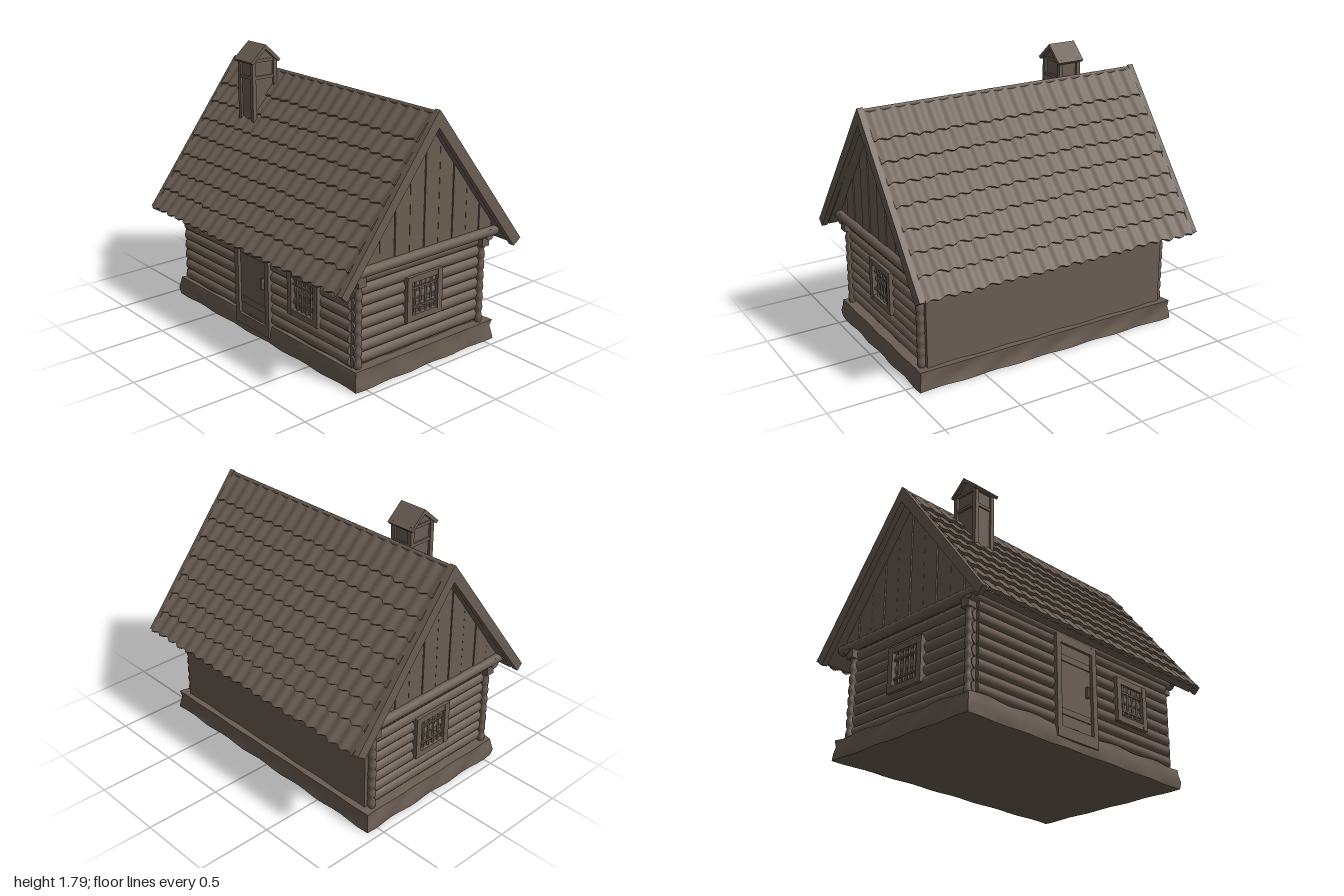
import * as THREE from 'three';
import { toCreasedNormals } from 'three/addons/utils/BufferGeometryUtils.js';

const RIDGE_X = -0.02, RIDGE_Y = 1.6;

export function createModel() {
  const model = new THREE.Group();
  model.name = 'logCabin';
  const wood = new THREE.MeshStandardMaterial({ color: 0x6b5e53, side: THREE.DoubleSide });
  wood.name = 'weathered brown';

  const add = (name, geometry, x = 0, y = 0, z = 0, parent = model) => {
    const mesh = new THREE.Mesh(geometry, wood);
    mesh.name = name;
    mesh.position.set(x, y, z);
    parent.add(mesh);
    return mesh;
  };
  const group = (name) => {
    const g = new THREE.Group();
    g.name = name;
    model.add(g);
    return g;
  };
  // Box given by its low and high corners
  const box = (name, a, b, parent) => add(name,
    new THREE.BoxGeometry(b[0] - a[0], b[1] - a[1], b[2] - a[2]),
    (a[0] + b[0]) / 2, (a[1] + b[1]) / 2, (a[2] + b[2]) / 2, parent);
  // Front-facing outline pushed along z
  const slab = (name, points, z0, z1, parent) => {
    const shape = new THREE.Shape(points.map(([x, y]) => new THREE.Vector2(x, y)));
    return add(name, new THREE.ExtrudeGeometry(shape, { depth: z1 - z0, bevelEnabled: false }), 0, 0, z0, parent);
  };
  const log = (name, axis, from, to, a, y, r, parent) => {
    const geo = new THREE.CylinderGeometry(r, r, to - from, 14);
    const mid = (from + to) / 2;
    if (axis === 'x') return add(name, geo.rotateZ(Math.PI / 2), mid, y, a, parent);
    return add(name, geo.rotateX(Math.PI / 2), a, y, mid, parent);
  };
  const hash = (n) => { const v = Math.sin(n * 127.1) * 43758.5; return v - Math.floor(v); };

  // Rough stone plinth with an uneven upper edge
  const plinth = new THREE.BoxGeometry(1.15, 0.13, 1.87, 16, 3, 24);
  const p = plinth.attributes.position;
  for (let i = 0; i < p.count; i++) {
    const x = p.getX(i), y = p.getY(i), z = p.getZ(i);
    const wobble = 0.006 * Math.sin(x * 19 + y * 30) + 0.006 * Math.sin(z * 17 + y * 40);
    if (Math.abs(x) > 0.57) p.setX(i, x + Math.sign(x) * wobble);
    if (Math.abs(z) > 0.93) p.setZ(i, z + Math.sign(z) * wobble);
    if (y > 0.06) p.setY(i, y + wobble * 0.7);
  }
  add('plinth', toCreasedNormals(plinth, 0.6), 0, 0.065, 0);

  // Wall core with a plain board on the +x side
  box('wallCore', [-0.545, 0.1, -0.865], [0.535, 0.8, 0.865]);

  // Horizontal wall logs on both ends and the door side
  const logs = group('wallLogs');
  for (let i = 0; i < 8; i++) {
    const y = 0.17 + i * 0.072;
    for (const s of [-1, 1]) log('endLog', 'x', -0.55, 0.51, s * 0.853, y, 0.038, logs);
    log('sideLog', 'z', -0.86, -0.22, -0.535, y, 0.038, logs);
    log('sideLog', 'z', 0.1, 0.86, -0.535, y, 0.038, logs);
  }

  // Lumpy corner posts, with a bracket under the eaves
  const profile = [];
  for (let i = 0; i <= 32; i++) {
    const bump = Math.abs(Math.sin((i / 32) * Math.PI * 8));
    profile.push(new THREE.Vector2(0.019 + 0.008 * Math.sqrt(bump), 0.12 + (i / 32) * 0.57));
  }
  for (const s of [-1, 1]) {
    for (const x of [-0.52, 0.495]) {
      add('cornerPost', new THREE.LatheGeometry(profile, 12), x, 0, s * 0.885);
      add('bracket', new THREE.BoxGeometry(0.06, 0.06, 0.08), x, 0.675, s * 0.885);
    }
    // Tie beam under the gable
    log('tieBeam', 'x', -0.63, 0.6, s * 0.905, 0.728, 0.032);
  }
  log('eavePurlin', 'z', -0.93, 0.93, -0.555, 0.715, 0.035);
  log('eavePurlin', 'z', -0.93, 0.93, 0.525, 0.715, 0.035);

  // Gable planks over a solid attic
  slab('attic', [[-0.6, 0.74], [0.57, 0.74], [RIDGE_X, 1.52]], -0.885, 0.885);
  const gableTop = (x) => 1.54 - Math.abs(x - RIDGE_X) * 1.29;
  for (const s of [-1, 1]) {
    const planks = group(s > 0 ? 'frontGable' : 'backGable');
    const w = 0.117;
    for (let i = 0; i < 10; i++) {
      const x0 = RIDGE_X + (i - 5) * w + 0.003, x1 = x0 + w - 0.006;
      const z = s * (0.897 + 0.004 * (i % 2));
      slab('plank', [[x0, 0.73], [x1, 0.73], [x1, gableTop(x1)], [x0, gableTop(x0)]],
        Math.min(z, s * 0.88), Math.max(z, s * 0.88), planks);
    }
  }

  // Roof deck under the tiles and the verge boards at both ends
  slab('roofDeck', [[-0.715, 0.665], [RIDGE_X, 1.595], [0.71, 0.665], [0.675, 0.645],
    [RIDGE_X, 1.53], [-0.68, 0.645]], -0.96, 0.96);
  const verge = [[-0.74, 0.67], [-0.03, 1.605], [RIDGE_X, 1.615], [-0.01, 1.605], [0.73, 0.67],
    [0.67, 0.63], [RIDGE_X, 1.51], [-0.7, 0.63]];
  slab('frontVergeBoard', verge, 0.962, 1);
  slab('backVergeBoard', verge, -1, -0.962);

  // Overlapping courses of wavy tiles
  const WAVES = 20, ends = [0, 0.17, 0.285, 0.4, 0.515, 0.635, 0.75, 0.865, 0.99];
  const course = (side, k) => {
    const run = side > 0 ? 0.745 : 0.715, drop = 0.95, len = Math.hypot(run, drop);
    const geo = new THREE.PlaneGeometry(1, 1, WAVES * 8, 2);
    const pos = geo.attributes.position, cols = WAVES * 8 + 1;
    for (let i = 0; i < pos.count; i++) {
      const row = Math.floor(i / cols), c = i % cols;
      const wave = Math.cos((c / 8) * Math.PI * 2);
      const jitter = (hash(Math.floor(c / 8) + k * 31 + side * 7) - 0.5) * 0.008;
      const t = row === 0 ? ends[k] : ends[k + 1] + 0.007 * wave + jitter;
      const n = [0.002, 0.021, 0][row] + (row < 2 ? 0.006 * wave : 0);
      pos.setXYZ(i,
        RIDGE_X + side * (run * t + (n * drop) / len),
        RIDGE_Y - drop * t + (n * run) / len,
        side * (0.965 - (1.93 * c) / (cols - 1)));
    }
    return toCreasedNormals(geo, 0.8);
  };
  const tiles = group('roofTiles');
  for (const side of [-1, 1]) {
    for (let k = 0; k < 8; k++) add('tileCourse', course(side, k), 0, 0, 0, tiles);
  }
  add('ridgeCap', new THREE.CylinderGeometry(0.014, 0.014, 1.92, 8).rotateX(Math.PI / 2), RIDGE_X, 1.592, 0);

  // Barred window, built facing +z around its own centre
  const windowUnit = (name, x, y, z, turn) => {
    const g = group(name);
    const w = 0.145, h = 0.145, f = 0.04;
    box('pane', [-w + f, -h + f, -0.03], [w - f, h - f, -0.004], g);
    for (const s of [-1, 1]) {
      add('frameSide', new THREE.BoxGeometry(f, 2 * h, 0.055), s * (w - f / 2), 0, 0, g);
      add('frameRail', new THREE.BoxGeometry(2 * (w - f), f, 0.05), 0, s * (h - f / 2), 0, g);
      add('crossBar', new THREE.BoxGeometry(2 * (w - f), 0.012, 0.012), 0, s * 0.06, 0.008, g);
    }
    for (let i = 0; i < 4; i++) {
      add('bar', new THREE.CylinderGeometry(0.007, 0.007, 2 * (h - f), 8), -0.066 + i * 0.044, 0, 0.006, g);
    }
    g.position.set(x, y, z);
    g.rotation.y = turn;
  };
  windowUnit('frontWindow', -0.007, 0.453, 0.885, 0);
  windowUnit('backWindow', -0.007, 0.453, -0.885, Math.PI);
  windowUnit('sideWindow', -0.567, 0.44, 0.46, -Math.PI / 2);

  // Door on the -x side
  const door = group('door');
  box('doorLeaf', [-0.572, 0.08, -0.2], [-0.53, 0.66, 0.08], door);
  box('doorJamb', [-0.592, 0.05, -0.24], [-0.53, 0.7, -0.2], door);
  box('doorJamb', [-0.592, 0.05, 0.08], [-0.53, 0.7, 0.12], door);
  box('doorLintel', [-0.59, 0.65, -0.2], [-0.53, 0.7, 0.08], door);
  box('doorSill', [-0.592, 0.05, -0.2], [-0.53, 0.12, 0.08], door);
  for (const y of [0.2, 0.54]) box('doorBatten', [-0.58, y, -0.19], [-0.57, y + 0.04, 0.07], door);
  box('doorHandle', [-0.592, 0.36, 0.035], [-0.57, 0.43, 0.05], door);

  // Chimney: framed shaft with a small gabled cap
  const chimney = group('chimney');
  box('shaft', [-0.255, 1.2, -0.595], [-0.085, 1.7, -0.465], chimney);
  for (const x of [-0.255, -0.085]) {
    for (const z of [-0.597, -0.463]) {
      box('shaftPost', [x - 0.014, 1.2, z - 0.014], [x + 0.014, 1.7, z + 0.014], chimney);
    }
  }
  for (const y of [1.565, 1.675]) box('shaftBand', [-0.265, y, -0.607], [-0.075, y + 0.02, -0.453], chimney);
  slab('capGable', [[-0.265, 1.685], [-0.075, 1.685], [-0.17, 1.765]], -0.6, -0.46, chimney);
  slab('capRoof', [[-0.29, 1.685], [-0.17, 1.79], [-0.055, 1.685], [-0.07, 1.67],
    [-0.17, 1.76], [-0.275, 1.67]], -0.625, -0.432, chimney);

  return model;
}
